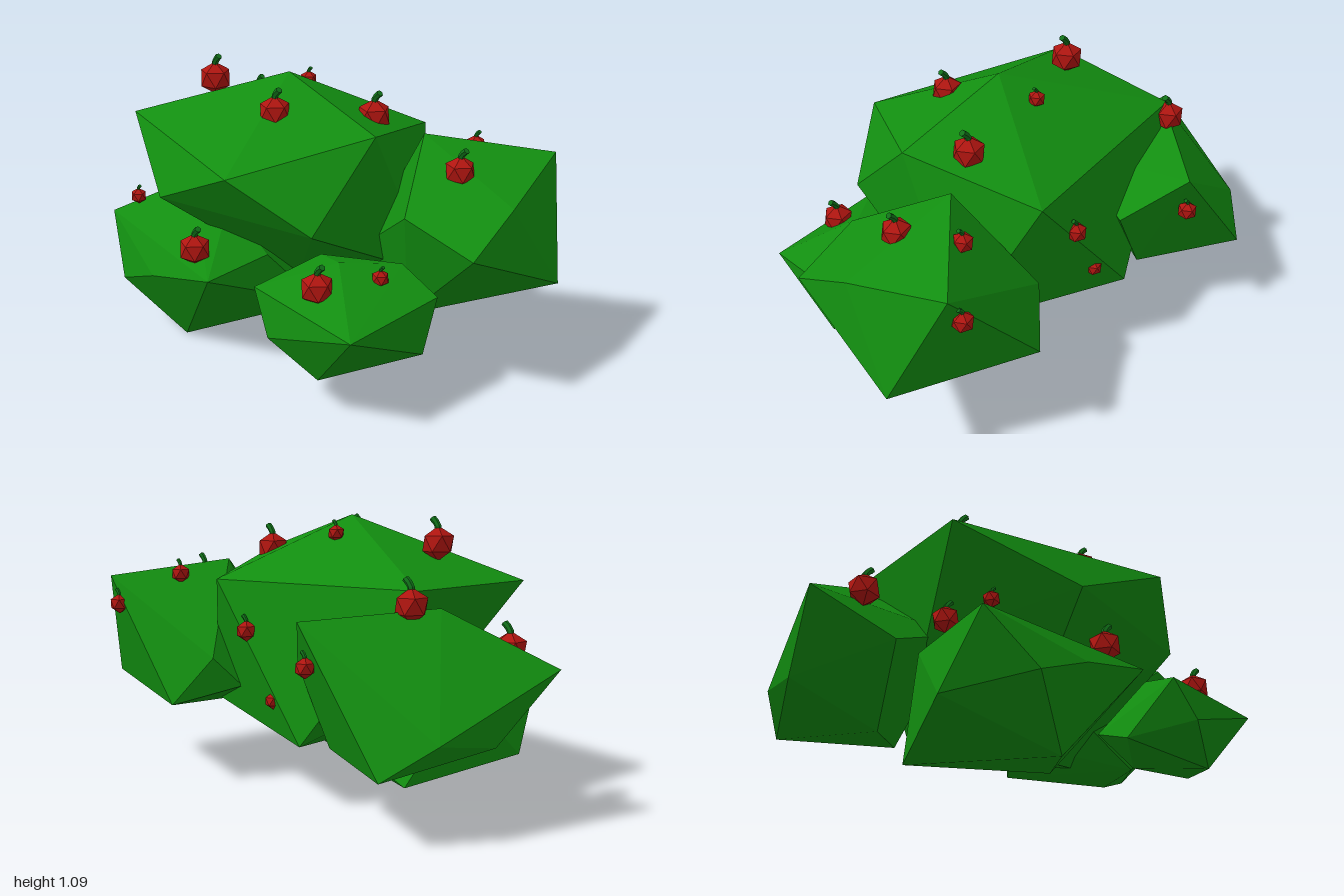
import * as THREE from 'three';
import { ConvexGeometry } from 'three/addons/geometries/ConvexGeometry.js';

const leafMat = new THREE.MeshStandardMaterial({ color: 0x128e10, flatShading: true });
const fruitMat = new THREE.MeshStandardMaterial({ color: 0xb01510, flatShading: true });
const stemMat = new THREE.MeshStandardMaterial({ color: 0x107018, flatShading: true });

// Corners of each faceted clump of leaves
const clumps = {
  mainClump: [
    [0.03, 1.09, 0.07], [0.275, 0.835, 0.57], [0.51, 0.945, 0.065], [0.28, 0.84, -0.44],
    [-0.61, 0.84, -0.25], [-0.61, 0.84, 0.38], [0.52, 0.64, 0.377], [0.52, 0.31, -0.25],
    [-0.15, 0.64, 0.57], [-0.2, 0.24, -0.44], [-0.5, 0.5, 0.07], [0, 0.18, 0],
  ],
  backLeftClump: [
    [0.5, 0.9, -0.2], [0.83, 0.83, -0.575], [0.96, 0.74, -0.18], [1, 0.625, 0.07],
    [1, 0.39, -0.425], [0.72, 0.71, 0.12], [0.64, 0.26, 0], [0.41, 0.33, -0.575],
    [0.77, 0.29, -0.31], [0.3, 0.52, -0.45], [0.25, 0.4, -0.34], [0.36, 0.44, -0.02],
  ],
  backRightClump: [
    [-0.67, 0.78, -0.19], [-0.36, 0.74, -0.595], [-1, 0.57, 0.07], [-0.75, 0.24, -0.595],
    [-0.92, 0.32, -0.19], [-0.88, 0.36, -0.44], [-0.68, 0.42, 0.15], [-0.55, 0.19, -0.16],
    [-0.17, 0.55, -0.42], [-0.32, 0.25, -0.4], [-0.32, 0.6, 0.02],
  ],
  frontRightClump: [
    [-0.17, 0, 0.46], [-0.39, 0.22, 0.61], [-0.58, 0.44, 0.53], [-0.38, 0.58, 0.25],
    [0.15, 0.39, 0.57], [0.155, 0.13, 0.02], [-0.17, 0.31, 0.61], [-0.63, 0.15, 0.35],
    [-0.45, 0.07, -0.13], [-0.13, 0.2, -0.13], [-0.14, 0.54, 0.25], [-0.55, 0.42, 0.1],
    [0.12, 0.4, 0.26],
  ],
  frontLeftClump: [
    [0.63, 0.14, 0.44], [0.85, 0.23, 0.135], [0.85, 0.4, 0.49], [0.37, 0.44, 0.52],
    [0.47, 0.28, 0.54], [0.32, 0.24, 0.3], [0.46, 0.53, 0.28], [0.58, 0.545, 0.3],
    [0.84, 0.43, 0.06], [0.68, 0.51, 0.08], [0.55, 0.22, 0.1], [0.4, 0.35, 0.05],
  ],
};

// Fruits: x, y, z, radius
const fruits = [
  [-0.39, 0.985, 0.12, 0.068], [0.15, 0.99, 0.24, 0.063], [0.33, 0.95, -0.1, 0.066],
  [-0.03, 1.02, -0.08, 0.035], [-0.6, 0.79, -0.27, 0.066], [-0.78, 0.62, 0.07, 0.066],
  [0.72, 0.82, -0.16, 0.06], [0.6, 0.84, -0.38, 0.041], [0.77, 0.715, -0.575, 0.042],
  [-0.385, 0.58, -0.58, 0.04], [0.1, 0.65, -0.44, 0.042], [-0.03, 0.39, -0.42, 0.034],
  [0.6, 0.49, 0.42, 0.063], [0.7, 0.5, 0.21, 0.033], [0.0, 0.46, 0.52, 0.064],
  [-0.53, 0.51, 0.24, 0.055], [-0.49, 0.515, 0.46, 0.034],
];

// A faceted fruit, one corner upward, with a short bent stem
function makeFruit(x, y, z, r) {
  const fruit = new THREE.Group();
  fruit.name = 'fruit';
  const body = new THREE.Mesh(new THREE.IcosahedronGeometry(1, 0), fruitMat);
  body.name = 'fruitBody';
  body.rotation.z = -0.5536;
  const path = new THREE.CatmullRomCurve3([
    new THREE.Vector3(0, 0.7, 0), new THREE.Vector3(0.05, 1.05, 0), new THREE.Vector3(0.4, 1.4, 0),
  ]);
  const stem = new THREE.Mesh(new THREE.TubeGeometry(path, 3, 0.2, 6), stemMat);
  stem.name = 'stem';
  // Closed tip of the stem
  const tip = new THREE.Mesh(new THREE.CylinderGeometry(0.2, 0.2, 0.06, 6), stemMat);
  tip.name = 'stemTip';
  tip.position.set(0.4, 1.4, 0);
  tip.rotation.z = -0.7;
  fruit.add(body, stem, tip);
  fruit.position.set(x, y, z);
  fruit.scale.setScalar(r);
  return fruit;
}

export function createModel() {
  const bush = new THREE.Group();
  bush.name = 'fruitBush';
  for (const [name, corners] of Object.entries(clumps)) {
    const points = corners.map((c) => new THREE.Vector3(...c));
    const mesh = new THREE.Mesh(new ConvexGeometry(points), leafMat);
    mesh.name = name;
    bush.add(mesh);
  }
  for (const f of fruits) bush.add(makeFruit(...f));
  return bush;
}
